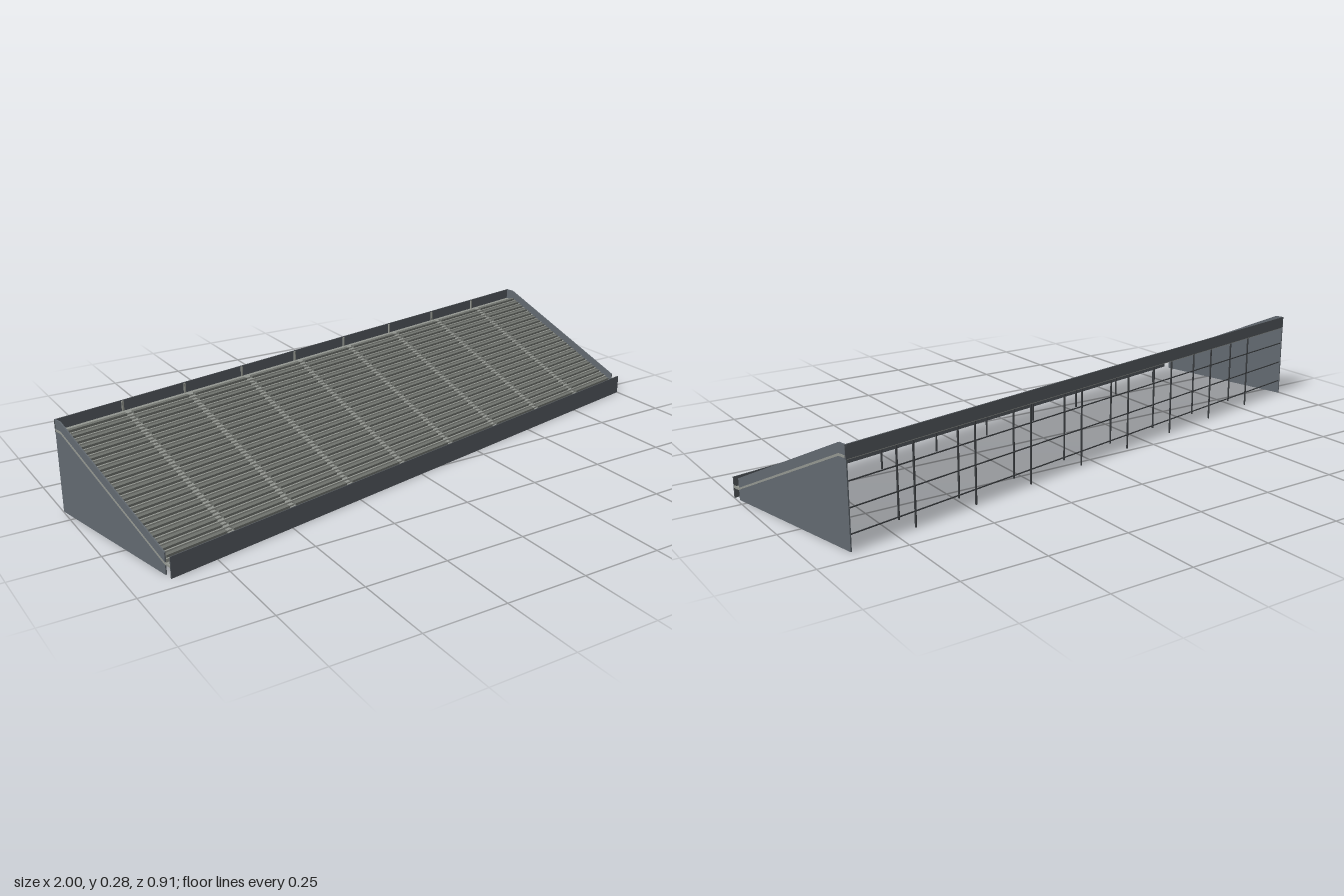
import * as THREE from 'three';

const W = 1.932, D = 0.527, ROWS = 22, SECTIONS = 9;
const F = D / 2, B = -D / 2;
const Z0 = 0.236, Z1 = -0.236, Y0 = 0.033, Y1 = 0.248; // foot and head of the rake
const rise = (Y1 - Y0) / ROWS, run = (Z0 - Z1) / ROWS;

const mat = (name, color) => {
  const m = new THREE.MeshStandardMaterial({ color });
  m.name = name;
  return m;
};

export function createModel() {
  const concrete = mat('concrete', 0x92958f);
  const seatGrey = mat('seat grey', 0x6e716c);
  const sidePanel = mat('side cladding', 0x626970);
  const wallPanel = mat('wall cladding', 0x54595e);
  const steel = mat('dark steel', 0x3c3f42);

  const model = new THREE.Group();
  model.name = 'grandstand';
  const stand = new THREE.Group();
  stand.name = 'stand';
  stand.rotation.y = 0.2065;
  model.add(stand);

  const add = (name, geo, material, x = 0, y = 0, z = 0) => {
    const m = new THREE.Mesh(geo, material);
    m.name = name;
    m.position.set(x, y, z);
    stand.add(m);
    return m;
  };
  const box = (name, w, h, d, material, x, y, z) =>
    add(name, new THREE.BoxGeometry(w, h, d), material, x, y, z);
  // Outline in (z, y), extruded along x and centred on x = 0
  const extrudeX = (points, width) => {
    const shape = new THREE.Shape(points.map(([z, y]) => new THREE.Vector2(z, y)));
    const g = new THREE.ExtrudeGeometry(shape, { depth: width, bevelEnabled: false });
    g.rotateY(-Math.PI / 2);
    g.translate(width / 2, 0, 0);
    return g;
  };

  // Stepped terrace with a walkway at the foot and at the head
  const steps = [[F - 0.003, Y0 - 0.006], [F - 0.003, Y0]];
  for (let i = 0; i < ROWS; i++) {
    const z = Z0 - i * run;
    steps.push([z, Y0 + i * rise], [z, Y0 + (i + 1) * rise]);
  }
  steps.push([B + 0.003, Y1], [B + 0.003, Y1 - 0.008], [Z1, Y1 - 0.008], [Z0, Y0 - 0.006]);
  add('terrace', extrudeX(steps, W - 0.006), concrete);

  // Seat benches, broken by aisles
  const pitch = W / SECTIONS, aisle = 0.022;
  const bench = new THREE.BoxGeometry(pitch - aisle, 0.007, 0.013);
  const halfStep = new THREE.BoxGeometry(aisle * 0.7, rise / 2, run / 2);
  for (let r = 0; r < ROWS; r++) {
    const y = Y0 + (r + 1) * rise, z = Z0 - r * run;
    for (let s = 0; s < SECTIONS; s++) {
      const x = (s - (SECTIONS - 1) / 2) * pitch;
      add('seatBench', bench, seatGrey, x, y + 0.0035, z - run * 0.55);
      if (s > 0) add('aisleStep', halfStep, concrete, x - pitch / 2, y + rise / 4, z - run * 0.75);
    }
  }

  // Front and back parapets
  box('frontWall', W, 0.062, 0.003, wallPanel, 0, 0.031, F - 0.0015);
  box('backParapet', W, 0.038, 0.003, wallPanel, 0, 0.262, B + 0.0015);

  // End walls with a light strip along the slab edge
  const endOutline = [[0.237, 0], [0.237, 0.064], [-0.235, 0.281], [B, 0.281], [B, 0]];
  const stripOutline = [[F - 0.003, 0.030], [F - 0.003, 0.036], [0.237, 0.036], [-0.235, 0.253],
    [B, 0.253], [B, 0.246], [-0.235, 0.246], [0.237, 0.030]];
  for (const side of [-1, 1]) {
    add('endWall', extrudeX(endOutline, 0.004), sidePanel, side * (W / 2 - 0.003));
    add('edgeStrip', extrudeX(stripOutline, 0.004), concrete, side * (W / 2 - 0.002));
  }

  // Columns below the aisles, and small posts on the back parapet
  for (let s = 1; s < SECTIONS; s++) {
    const x = (s - SECTIONS / 2) * pitch;
    for (const z of [0.15, -0.19, B + 0.004]) {
      const t = Math.min(1, (Z0 - z) / (Z0 - Z1));
      const h = Y0 - 0.006 + t * (Y1 - Y0 - 0.002);
      add('column', new THREE.CylinderGeometry(0.003, 0.003, h, 6), steel, x, h / 2, z);
    }
    box('parapetPost', 0.006, 0.03, 0.004, concrete, x, 0.264, B + 0.005);
  }

  // Horizontal rails across the open back
  for (const y of [0.185, 0.115, 0.045])
    box('backRail', W - 0.01, 0.003, 0.003, steel, 0, y, B + 0.004);

  return model;
}
